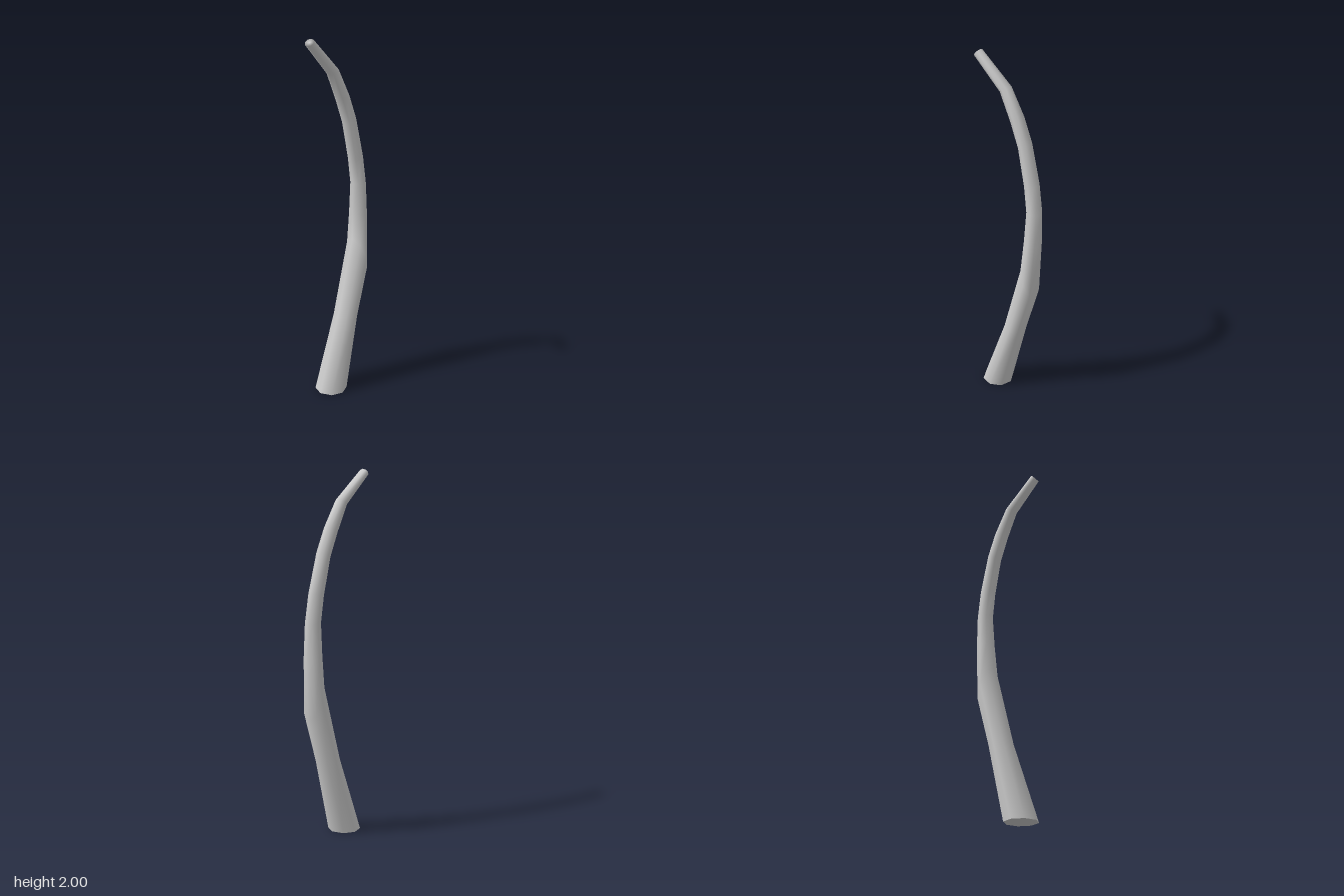
import * as THREE from 'three';

const SIDES = 8;

// Cross-sections: left edge (x, y), right edge (x, y), back z, front z
const SECTIONS = [
  [-0.16, 0, 0.02, 0, -0.09, 0.09],
  [-0.01, 0.43, 0.117, 0.41, -0.07, 0.07],
  [0.105, 0.87, 0.19, 0.66, -0.067, 0.073],
  [0.112, 1.02, 0.207, 0.99, -0.055, 0.05],
  [0.12, 1.19, 0.205, 1.18, -0.05, 0.037],
  [0.1, 1.33, 0.185, 1.34, -0.05, 0.03],
  [0.06, 1.53, 0.13, 1.56, -0.055, 0.025],
  [0.01, 1.66, 0.08, 1.69, -0.056, 0.02],
  [-0.055, 1.805, 0, 1.835, -0.055, 0.014],
  [-0.21, 1.965, -0.18, 2.0, -0.05, 0.01],
];

// Corner points of one cross-section
function ring([lx, ly, rx, ry, z0, z1]) {
  const points = [];
  for (let j = 0; j < SIDES; j++) {
    const a = (j / SIDES) * Math.PI * 2;
    const t = (1 + Math.cos(a)) / 2;
    points.push(lx + (rx - lx) * t, ly + (ry - ly) * t, (z0 + z1) / 2 + (Math.sin(a) * (z1 - z0)) / 2);
  }
  return points;
}

function centre([lx, ly, rx, ry, z0, z1]) {
  return [(lx + rx) / 2, (ly + ry) / 2, (z0 + z1) / 2];
}

function build(positions, index) {
  const geometry = new THREE.BufferGeometry();
  geometry.setAttribute('position', new THREE.Float32BufferAttribute(positions, 3));
  geometry.setIndex(index);
  geometry.computeVertexNormals();
  return geometry;
}

export function createModel() {
  const group = new THREE.Group();
  group.name = 'curvedStalk';
  const material = new THREE.MeshStandardMaterial({ color: 0xcccccc });
  const add = (geometry, name) => {
    const mesh = new THREE.Mesh(geometry, material);
    mesh.name = name;
    group.add(mesh);
  };

  // Bent, tapering stalk with a softly closed tip
  const first = SECTIONS[0];
  const last = SECTIONS.length - 1;
  const positions = [...SECTIONS.flatMap(ring), ...centre(SECTIONS[last])];
  const index = [];
  const tip = SECTIONS.length * SIDES;
  for (let j = 0; j < SIDES; j++) {
    const k = (j + 1) % SIDES;
    for (let i = 0; i < last; i++) {
      const low = i * SIDES, high = low + SIDES;
      index.push(low + j, high + j, low + k, low + k, high + j, high + k);
    }
    index.push(tip, last * SIDES + k, last * SIDES + j);
  }
  add(build(positions, index), 'stalk');

  // Flat underside
  const baseIndex = [];
  for (let j = 0; j < SIDES; j++) baseIndex.push(SIDES, j, (j + 1) % SIDES);
  add(build([...ring(first), ...centre(first)], baseIndex), 'base');

  return group;
}
